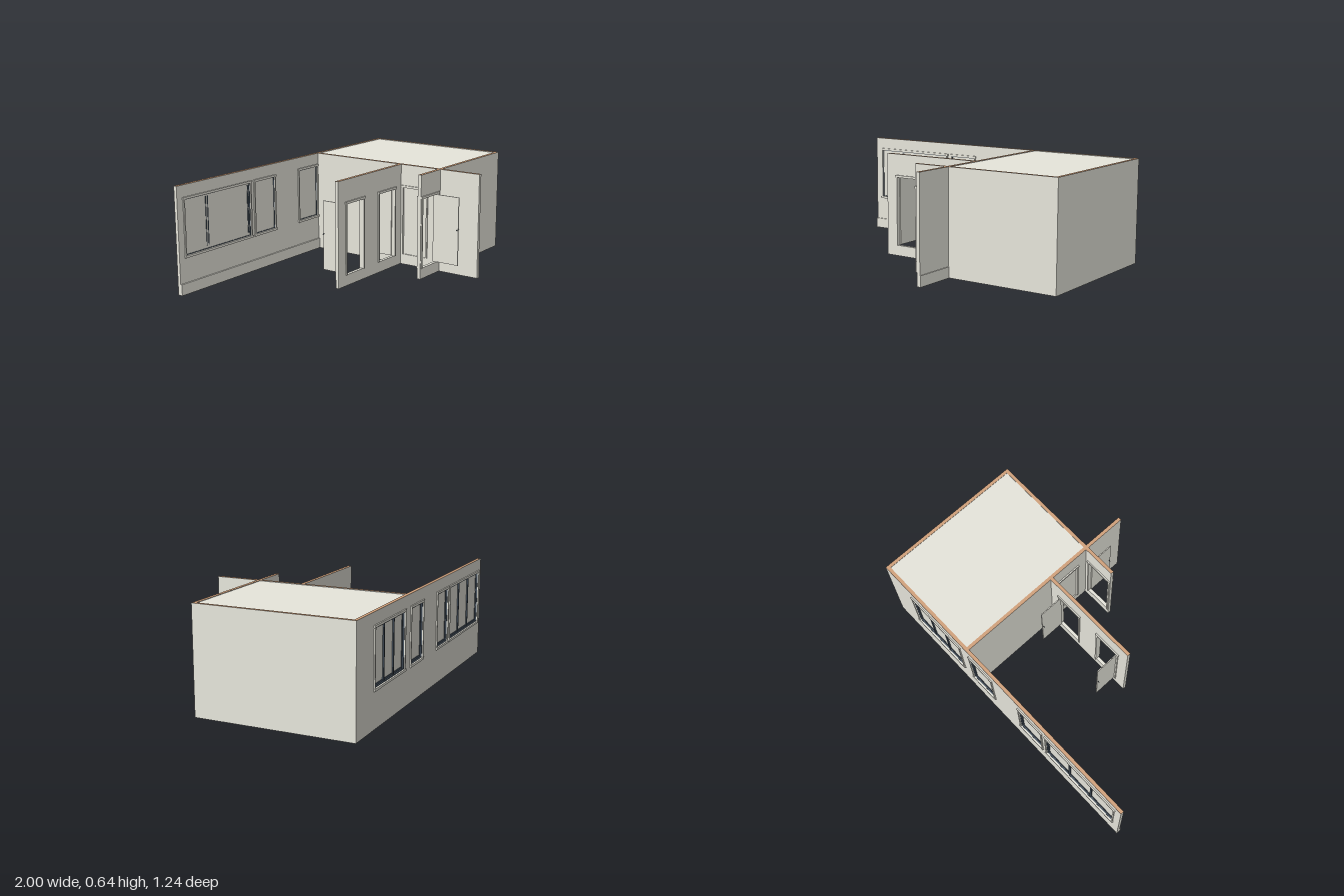
import * as THREE from 'three';

export function createModel() {
  const mat = (name, color) => {
    const m = new THREE.MeshStandardMaterial({ color });
    m.name = name;
    return m;
  };
  const plaster = mat('plaster', 0xe8e7dd);
  const cut = mat('cut wall edge', 0xd2a27c);
  const wood = mat('wood floor', 0xb18961);
  const dark = mat('dark frame', 0x46525f);

  const H = 0.64, T = 0.021, BASE = 0.066, HEAD = 0.495;
  const model = new THREE.Group();

  // box given by its min and max corners
  function box(parent, name, material, x0, x1, y0, y1, z0, z1) {
    const mesh = new THREE.Mesh(new THREE.BoxGeometry(x1 - x0, y1 - y0, z1 - z0), material);
    mesh.position.set((x0 + x1) / 2, (y0 + y1) / 2, (z0 + z1) / 2);
    mesh.name = name;
    parent.add(mesh);
  }

  // wall along local x, centred on local z, with rectangular openings [x0, x1, y0, y1]
  function wall(name, x0, x1, openings = []) {
    const g = new THREE.Group();
    g.name = name;
    const rect = (Type, a, b, c, d) => {
      const s = new Type();
      s.moveTo(a, c).lineTo(b, c).lineTo(b, d).lineTo(a, d).closePath();
      return s;
    };
    const shape = rect(THREE.Shape, x0, x1, 0, H - 0.002);
    for (const o of openings) shape.holes.push(rect(THREE.Path, ...o));
    const geo = new THREE.ExtrudeGeometry(shape, { depth: T, bevelEnabled: false });
    geo.translate(0, 0, -T / 2);
    const body = new THREE.Mesh(geo, plaster);
    body.name = name + 'Body';
    g.add(body);
    // only the upper face shows the cut colour
    box(g, 'wallTop', [plaster, plaster, cut, plaster, plaster, plaster],
      x0, x1, H - 0.002, H, -T / 2, T / 2);
    model.add(g);
    return g;
  }

  // casing on one face (side = 1 or -1) of an opening
  function casing(g, [x0, x1, y0, y1], side, sill) {
    const w = 0.014;
    const strip = (name, a, b, c, d, depth) => {
      const near = side * T / 2, far = side * (T / 2 + depth);
      box(g, name, plaster, a, b, c, d, Math.min(near, far), Math.max(near, far));
    };
    strip('casingHead', x0 - w, x1 + w, y1, y1 + w, 0.008);
    strip('casingSide', x0 - w * 0.7, x0, y0, y1, 0.007);
    strip('casingSide', x1, x1 + w * 0.7, y0, y1, 0.007);
    if (sill) strip('sill', x0 - w, x1 + w, y0 - w, y0, 0.01);
  }

  // deep-set dark frame and mullions with a plain pane behind
  function windowUnit(g, o, panes) {
    const [x0, x1, y0, y1] = o, f = 0.012, l = 0.003;
    casing(g, o, 1, true);
    casing(g, o, -1, true);
    // dark lining of the reveal
    const zo = -T / 2 + 0.0005, zi = T / 2 - 0.0005;
    box(g, 'liningBottom', dark, x0, x1, y0, y0 + l, zo, zi);
    box(g, 'liningTop', dark, x0, x1, y1 - l, y1, zo, zi);
    box(g, 'liningSide', dark, x0, x0 + l, y0, y1, zo, zi);
    box(g, 'liningSide', dark, x1 - l, x1, y0, y1, zo, zi);
    // pane and outer frame
    box(g, 'pane', plaster, x0, x1, y0, y1, 0.002, 0.005);
    box(g, 'frameBottom', dark, x0, x1, y0, y0 + 0.015, -0.001, 0.003);
    box(g, 'frameTop', dark, x0, x1, y1 - f, y1, -0.001, 0.003);
    for (let i = 0; i <= panes; i++) {
      const c = THREE.MathUtils.lerp(x0 + f / 2, x1 - f / 2, i / panes);
      const front = i % panes ? -0.006 : -0.001;
      box(g, 'mullion', dark, c - f / 2, c + f / 2, y0, y1, front, 0.003);
    }
    // sash edges on the room side
    if (panes > 1) {
      const m = x0 + (x1 - x0) / 3 - 0.001;
      for (const c of [m - 0.008, m + 0.008, x1 - 0.018, x1 - 0.01])
        box(g, 'sashEdge', dark, c - 0.002, c + 0.002, y0 + 0.02, y1 - 0.012, 0.004, 0.008);
    }
  }

  // open door leaf swung out from its wall, with a handle on both faces
  function doorLeaf(x, z0, z1, handleZ) {
    const g = new THREE.Group();
    g.name = 'door';
    box(g, 'doorLeaf', plaster, x - 0.003, x + 0.003, BASE + 0.003, HEAD - 0.003, z0, z1);
    const bar = new THREE.Mesh(new THREE.CylinderGeometry(0.0025, 0.0025, 0.026, 10), dark);
    bar.rotation.z = Math.PI / 2;
    bar.position.set(x, 0.29, handleZ);
    bar.name = 'handle';
    g.add(bar);
    model.add(g);
  }

  // long back wall with four windows
  const wy = [0.228, 0.555];
  const windows = [
    [[-0.945, -0.395, ...wy], 3],
    [[-0.35, -0.168, ...wy], 1],
    [[0.075, 0.257, ...wy], 1],
    [[0.355, 0.768, ...wy], 3],
  ];
  const back = wall('backWall', -1, 1, windows.map(w => w[0]));
  back.position.z = -0.601;
  for (const [o, n] of windows) windowUnit(back, o, n);
  box(back, 'baseboard', plaster, -1, 0.275, 0, BASE, T / 2, T / 2 + 0.009);

  // inner wall with two doorways
  const doors = [[-0.295, -0.13, BASE, HEAD], [0.034, 0.2, BASE, HEAD]];
  const inner = wall('innerWall', -0.375, 0.275, doors);
  inner.position.z = 0.056;
  for (const o of doors) for (const s of [1, -1]) casing(inner, o, s, false);
  doorLeaf(-0.29, -0.109, 0.049, -0.102);
  doorLeaf(0.196, -0.109, 0.049, -0.102);

  // front wall with one doorway, running on as the room's front
  const entry = [0.075, 0.243, BASE, HEAD];
  const front = wall('frontWall', 0.06, 1, [entry]);
  front.position.z = 0.341;
  for (const s of [1, -1]) casing(front, entry, s, false);
  doorLeaf(0.239, 0.348, 0.506, 0.499);

  // cross wall: local x runs along z, local +z faces -x
  const doorway = [0.085, 0.255, BASE, HEAD];
  const cross = wall('crossWall', -0.5905, 0.62, [doorway]);
  cross.rotation.y = -Math.PI / 2;
  cross.position.x = 0.285;
  casing(cross, doorway, 1, false);
  box(cross, 'closedDoor', plaster, doorway[0], doorway[1], BASE, HEAD, -0.004, 0.004);
  box(cross, 'baseboard', plaster, 0.352, 0.62, 0, BASE, -T / 2 - 0.006, -T / 2);

  // right outer wall, floor and ceiling of the closed room
  const right = wall('rightWall', -0.5905, 0.3305);
  right.rotation.y = -Math.PI / 2;
  right.position.x = 1 - T / 2;
  box(model, 'roomFloor', wood, 0.295, 0.98, 0.058, 0.066, -0.591, 0.331);
  box(model, 'roomCeiling', plaster, 0.295, 0.98, 0.628, 0.637, -0.591, 0.331);

  return model;
}
